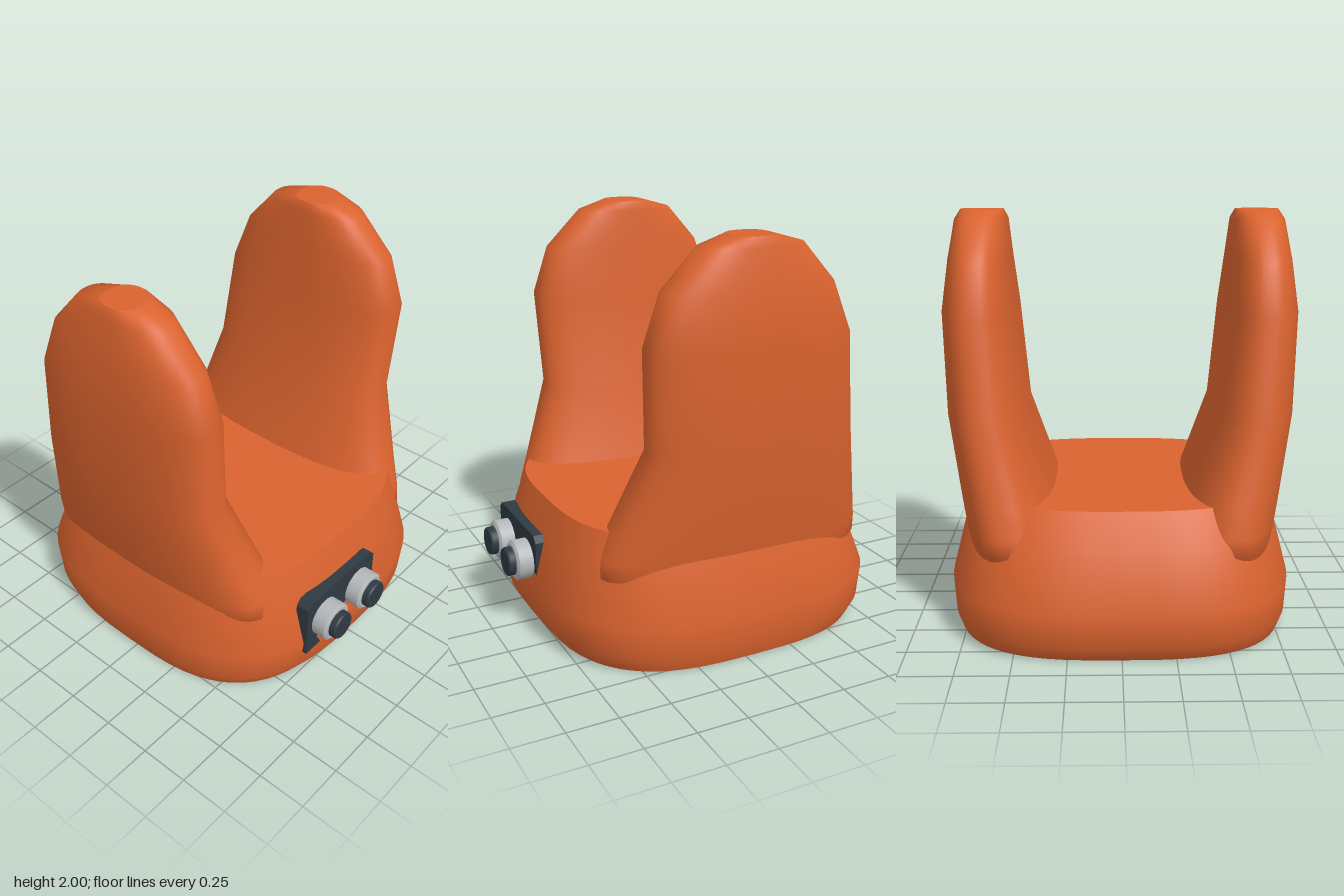
import * as THREE from 'three';

const SIDES = 64;

// Closed loft through rounded-rectangle rings: [y, xMin, xMax, zMin, zMax]
function loft(rings, power) {
  const pos = [], idx = [];
  const point = ([y, x0, x1, z0, z1], j) => {
    const t = (j / SIDES) * Math.PI * 2;
    const c = Math.cos(t), s = Math.sin(t);
    const round = (v) => Math.sign(v) * Math.pow(Math.abs(v), 2 / power);
    return [(x0 + x1) / 2 + ((x1 - x0) / 2) * round(c), y, (z0 + z1) / 2 + ((z1 - z0) / 2) * round(s)];
  };
  rings.forEach((r) => {
    for (let j = 0; j < SIDES; j++) pos.push(...point(r, j));
  });
  for (let i = 0; i < rings.length - 1; i++) {
    for (let j = 0; j < SIDES; j++) {
      const k = (j + 1) % SIDES;
      const a = i * SIDES + j, b = i * SIDES + k;
      idx.push(a, a + SIDES, b, a + SIDES, b + SIDES, b);
    }
  }
  // Flat caps with their own vertices, so the rims stay sharp
  [rings[0], rings[rings.length - 1]].forEach((r, top) => {
    const centre = pos.length / 3;
    pos.push((r[1] + r[2]) / 2, r[0], (r[3] + r[4]) / 2);
    for (let j = 0; j < SIDES; j++) pos.push(...point(r, j));
    for (let j = 0; j < SIDES; j++) {
      const a = centre + 1 + j, b = centre + 1 + ((j + 1) % SIDES);
      if (top) idx.push(centre, b, a);
      else idx.push(centre, a, b);
    }
  });
  const g = new THREE.BufferGeometry();
  g.setAttribute('position', new THREE.Float32BufferAttribute(pos, 3));
  g.setIndex(idx);
  g.computeVertexNormals();
  return g;
}

export function createModel() {
  const model = new THREE.Group();
  model.name = 'cradle';
  const orange = new THREE.MeshStandardMaterial({ color: 0xd9622e });
  const dark = new THREE.MeshStandardMaterial({ color: 0x303a42 });
  const grey = new THREE.MeshStandardMaterial({ color: 0xb4b7b8 });
  orange.name = 'orange shell';
  dark.name = 'dark slate';
  grey.name = 'light grey';

  const add = (parent, name, geometry, material) => {
    const mesh = new THREE.Mesh(geometry, material);
    mesh.name = name;
    parent.add(mesh);
    return mesh;
  };

  // Rounded base with a flat seat
  add(model, 'base', loft([
    [0, -0.85, 0.75, -0.8, 0.8],
    [0.08, -0.905, 0.805, -0.825, 0.825],
    [0.24, -0.92, 0.82, -0.835, 0.835],
    [0.5, -0.825, 0.755, -0.77, 0.77],
    [0.66, -0.7, 0.7, -0.72, 0.72],
  ], 3), orange);

  // Two tall upright walls, mirrored front to back
  const wall = [
    [0.3, -0.64, 0.54, 0.3, 0.72],
    [0.45, -0.755, 0.655, 0.28, 0.745],
    [0.53, -0.745, 0.635, 0.29, 0.762],
    [0.66, -0.715, 0.585, 0.32, 0.783],
    [1.05, -0.62, 0.44, 0.45, 0.84],
    [1.53, -0.565, 0.465, 0.5, 0.86],
    [1.77, -0.47, 0.385, 0.53, 0.83],
    [1.955, -0.305, 0.2, 0.545, 0.8],
    [2, -0.15, 0.05, 0.565, 0.775],
  ];
  add(model, 'frontWall', loft(wall, 2.5), orange);
  add(model, 'backWall', loft(wall.map(([y, x0, x1, z0, z1]) => [y, x0, x1, -z1, -z0]), 2.5), orange);

  // Sensor set into the side of the base
  const sensor = new THREE.Group();
  sensor.name = 'sensor';
  model.add(sensor);

  // Chamfered circuit board, drawn with shape x = -z
  const c = 0.03;
  const outline = new THREE.Shape([
    [-0.41 + c, 0.505], [-0.41, 0.505 - c], [-0.41, 0.18], [0.13 - c, 0.18], [0.13, 0.18 + c],
    [0.13, 0.505 - c], [0.13 - c, 0.505],
  ].map(([x, y]) => new THREE.Vector2(x, y)));
  const board = add(sensor, 'board', new THREE.ExtrudeGeometry(outline, { depth: 0.07, bevelEnabled: false }), dark);
  board.rotation.y = Math.PI / 2;
  board.position.x = 0.731;

  // Stepped housings with dark lenses
  const turned = (points) => {
    const g = new THREE.LatheGeometry(points.map(([r, y]) => new THREE.Vector2(r, y)), 32);
    return g.rotateZ(-Math.PI / 2);
  };
  [0.275, 0].forEach((z, i) => {
    const housing = add(sensor, 'housing' + (i + 1), turned([
      [0, 0], [0.1, 0], [0.1, 0], [0.1, 0.075], [0.1, 0.075], [0.085, 0.085], [0.085, 0.085], [0, 0.085],
    ]), grey);
    housing.position.set(0.797, 0.35, z);
    const lens = add(sensor, 'lens' + (i + 1), turned([
      [0.072, 0], [0.072, 0.03], [0.072, 0.03], [0.066, 0.038], [0.066, 0.038], [0, 0.038],
    ]), dark);
    lens.position.set(0.881, 0.35, z);
  });

  return model;
}
